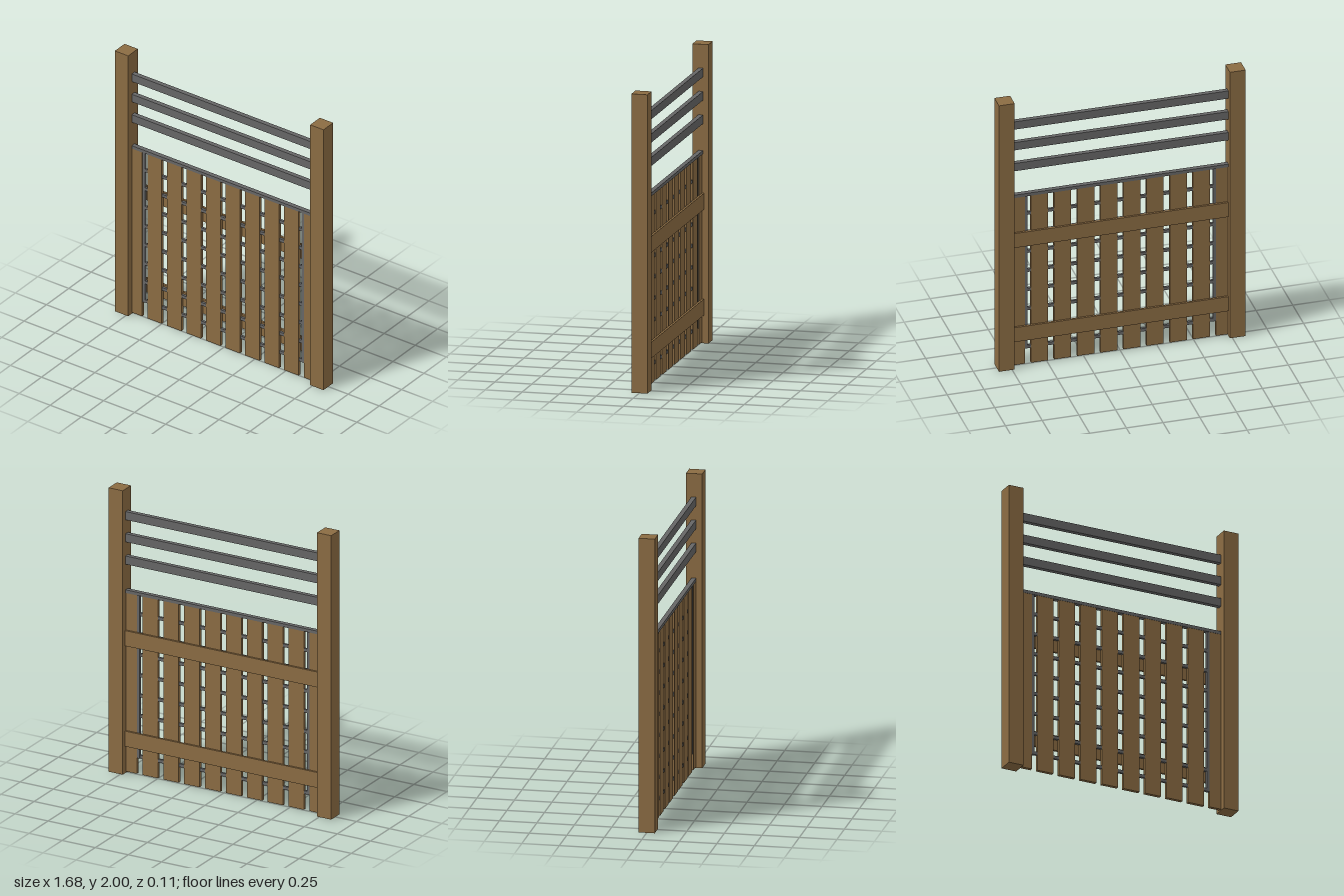
import * as THREE from 'three';

export function createModel() {
  const gate = new THREE.Group();
  gate.name = 'fencePanel';
  const wood = new THREE.MeshStandardMaterial({ color: 0x8b6c43 });
  const metal = new THREE.MeshStandardMaterial({ color: 0x666666 });

  // Box given by its extents along each axis
  function box(name, material, [x0, x1], [y0, y1], [z0, z1]) {
    const mesh = new THREE.Mesh(new THREE.BoxGeometry(x1 - x0, y1 - y0, z1 - z0), material);
    mesh.position.set((x0 + x1) / 2, (y0 + y1) / 2, (z0 + z1) / 2);
    mesh.name = name;
    gate.add(mesh);
  }

  const inner = 0.733; // inner face of the posts
  const span = [-inner, inner];

  // Square posts
  box('rightPost', wood, [-0.84, -inner], [0, 2], [-0.054, 0.054]);
  box('leftPost', wood, [inner, 0.84], [0, 2], [-0.054, 0.054]);

  // Heavy open bars above the panel
  for (const y of [1.499, 1.656, 1.812]) {
    box('upperBar', metal, span, [y - 0.029, y + 0.029], [-0.018, 0.0135]);
  }

  // Vertical slats, the outermost cut off by the posts
  for (let i = 0; i < 10; i++) {
    const x = (i - 4.5) * 0.1575;
    box('slat', wood,
      [Math.max(x - 0.058, -inner), Math.min(x + 0.058, inner)],
      [0.008, 1.27], [-0.011, 0.0115]);
  }

  // Metal lattice running through the slats
  box('topFrameBar', metal, span, [1.268, 1.29], [-0.018, 0.0135]);
  for (const x of [-0.642, 0.642]) {
    box('sideFrameBar', metal, [x - 0.011, x + 0.011], [0.118, 1.268], [-0.009, 0.009]);
  }
  for (let i = 0; i < 8; i++) {
    const y = 0.13 + i * 0.1433;
    box('latticeBar', metal, [-0.642, 0.642], [y - 0.011, y + 0.011], [-0.008, 0.008]);
  }

  // Wooden rails across the back
  for (const y of [0.243, 0.951]) {
    box('backRail', wood, span, [y - 0.054, y + 0.054], [-0.025, -0.01]);
  }

  return gate;
}
